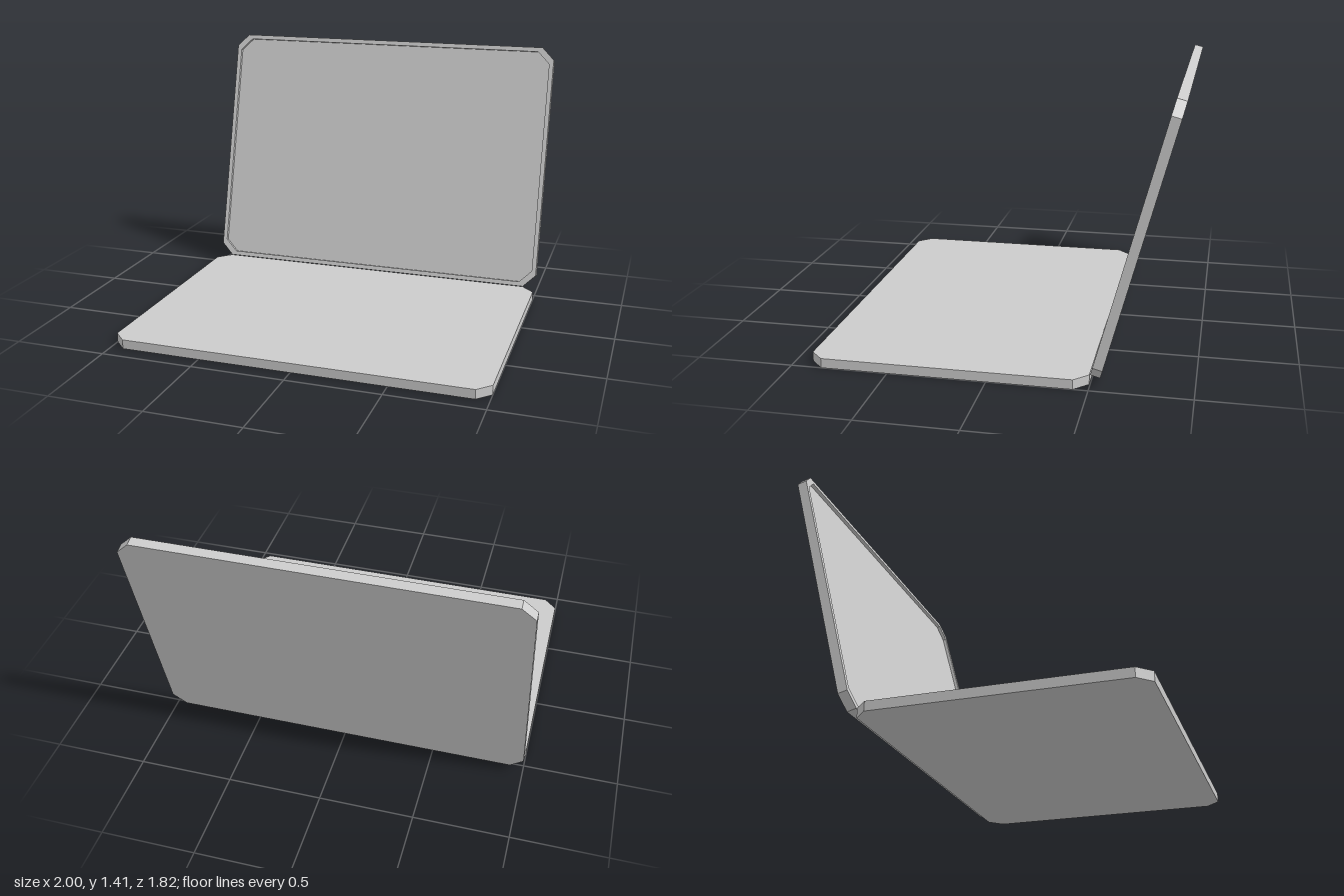
import * as THREE from 'three';

const WIDTH = 2, DEPTH = 1.408, THICK = 0.05, CUT = 0.07;
const BEZEL = 0.025, RECESS = 0.019, TILT = THREE.MathUtils.degToRad(15);

// Rectangle with clipped corners, centred on the origin
function clippedPoints(w, h, c) {
  const x = w / 2, y = h / 2;
  return [
    [-x + c, -y], [x - c, -y], [x, -y + c], [x, y - c],
    [x - c, y], [-x + c, y], [-x, y - c], [-x, -y + c],
  ].map(([px, py]) => new THREE.Vector2(px, py));
}

function slab(name, material, depth, hole) {
  const shape = new THREE.Shape(clippedPoints(WIDTH, DEPTH, CUT));
  if (hole) shape.holes.push(new THREE.Path(hole));
  const geometry = new THREE.ExtrudeGeometry(shape, { depth, bevelEnabled: false });
  const mesh = new THREE.Mesh(geometry, material);
  mesh.name = name;
  return mesh;
}

export function createModel() {
  const model = new THREE.Group();
  model.name = 'laptop';
  const material = new THREE.MeshStandardMaterial({ color: 0xcccccc, flatShading: true });

  // Flat base
  const base = slab('base', material, THICK);
  base.rotation.x = -Math.PI / 2;
  base.position.z = 0.208;
  model.add(base);

  // Lid pivots on its lower front edge and leans back
  const lid = new THREE.Group();
  lid.name = 'lid';
  lid.position.set(0, 0.05, -0.5);
  lid.rotation.x = -TILT;
  model.add(lid);

  // Back plate, whose front is the sunken screen
  const plate = slab('screenPanel', material, THICK - RECESS);
  plate.position.set(0, DEPTH / 2, -THICK);
  lid.add(plate);

  // Raised rim around the screen
  const opening = clippedPoints(WIDTH - 2 * BEZEL, DEPTH - 2 * BEZEL, CUT);
  const rim = slab('screenBezel', material, RECESS, opening);
  rim.position.set(0, DEPTH / 2, -RECESS);
  lid.add(rim);

  return model;
}
